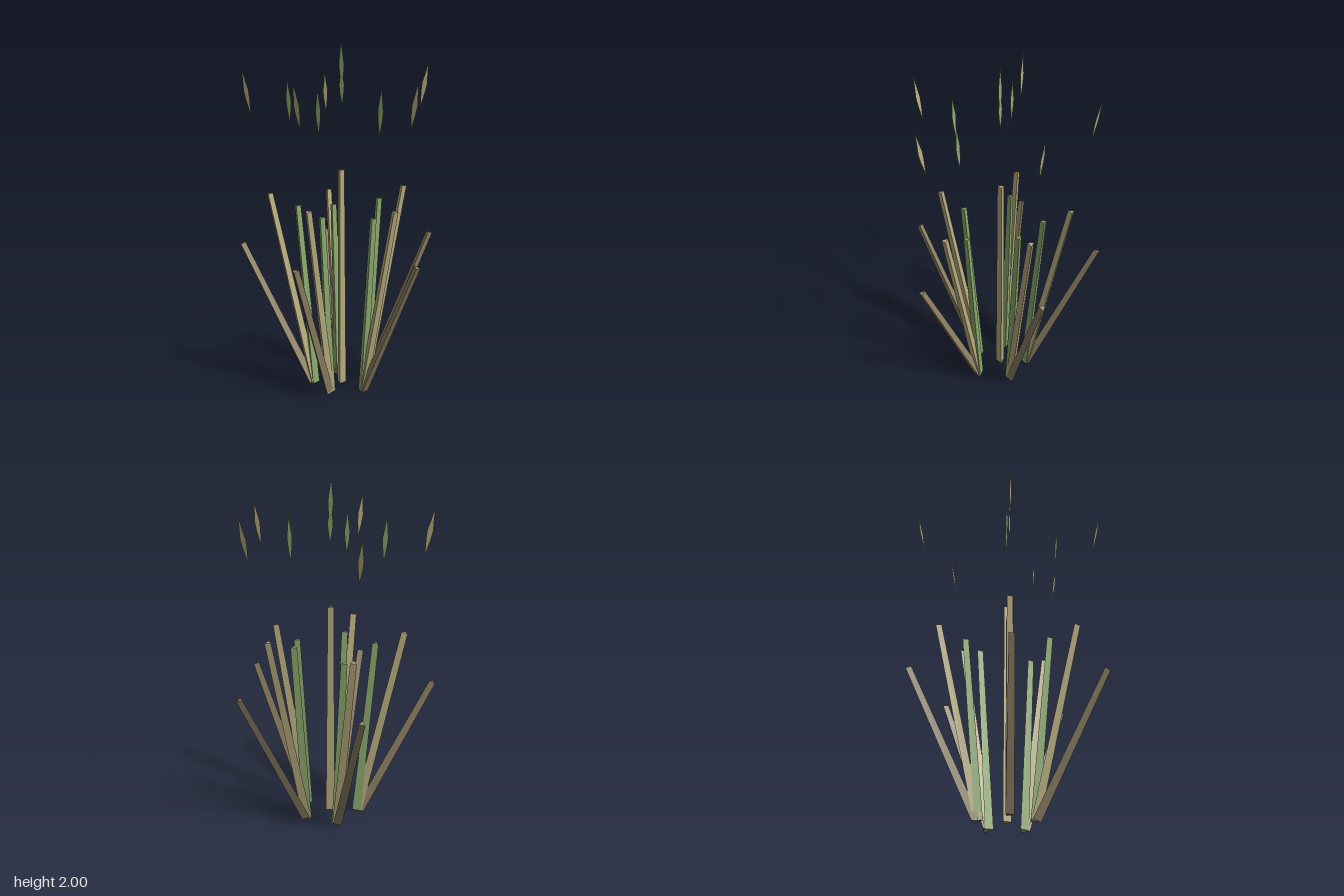
import * as THREE from 'three';

const V = (p) => new THREE.Vector3(...p);

export function createModel() {
  const model = new THREE.Group();
  model.name = 'reedPlant';

  const make = (name, color) => {
    const m = new THREE.MeshStandardMaterial({ color, side: THREE.DoubleSide, flatShading: true });
    m.name = name;
    return m;
  };
  const green = make('leafGreen', 0x8aa86c);
  const tan = make('dryTan', 0xb5aa7c);
  const brown = make('stalkBrown', 0x8d8064);

  // Three-sided tapered stalk between two points
  function stalk(name, material, from, to) {
    const a = V(from), b = V(to), dir = b.clone().sub(a);
    const geo = new THREE.CylinderGeometry(0.021, 0.029, dir.length(), 3).rotateY(Math.PI);
    const mesh = new THREE.Mesh(geo, material);
    mesh.name = name;
    mesh.position.copy(a).add(b).multiplyScalar(0.5);
    mesh.quaternion.setFromUnitVectors(new THREE.Vector3(0, 1, 0), dir.normalize());
    model.add(mesh);
  }

  // Flat pointed blade between two points, facing mostly sideways
  function blade(name, material, from, to) {
    const a = V(from), b = V(to), dir = b.clone().sub(a);
    const h = dir.length() / 2, w = 0.017;
    const shape = new THREE.Shape([
      [0, -h], [w * 0.8, -h * 0.3], [w, h * 0.05], [w * 0.6, h * 0.4],
      [0, h], [-w * 0.6, h * 0.4], [-w, h * 0.05], [-w * 0.8, -h * 0.3],
    ].map(([x, y]) => new THREE.Vector2(x, y)));
    const mesh = new THREE.Mesh(new THREE.ShapeGeometry(shape), material);
    mesh.name = name;
    dir.normalize();
    const normal = new THREE.Vector3(Math.cos(0.24), 0, -Math.sin(0.24));
    const side = new THREE.Vector3().crossVectors(dir, normal).normalize();
    normal.crossVectors(side, dir);
    mesh.quaternion.setFromRotationMatrix(new THREE.Matrix4().makeBasis(side, dir, normal));
    mesh.position.copy(a).add(b).multiplyScalar(0.5);
    model.add(mesh);
  }

  // Five clumps: shared foot, then the tops of the inner, middle and outer stalks
  const clumps = [
    { foot: [-0.16, -0.005], inner: [-0.25, 1.05, 0.025], middle: [-0.4, 1.11, 0.075], outer: [-0.55, 0.825, 0.13] },
    { foot: [0.14, -0.003], inner: [0.222, 1.09, 0.017], middle: [0.38, 1.15, 0.067], outer: [0.55, 0.855, 0.128] },
    { foot: [-0.015, 0.115], inner: [-0.015, 1.03, 0.19], middle: [-0.01, 1.09, 0.345], outer: [-0.015, 0.81, 0.51] },
    { foot: [-0.118, -0.18], inner: [-0.165, 1.065, -0.255], middle: [-0.26, 1.13, -0.385], outer: [-0.36, 0.835, -0.515] },
    { foot: [0.085, -0.18], inner: [0.125, 1.03, -0.255], middle: [0.215, 1.09, -0.385], outer: [0.31, 0.81, -0.515] },
  ];
  for (const { foot: [x, z], inner, middle, outer } of clumps) {
    stalk('innerStalk', green, [x * 0.97, 0.01, z * 0.97], inner);
    stalk('middleStalk', tan, [x, 0.01, z], middle);
    stalk('outerStalk', brown, [x * 1.06, 0.013, z * 1.06], outer);
  }
  stalk('centreStalk', tan, [-0.015, 0.015, -0.055], [-0.015, 1.275, -0.055]);

  // Blades floating above the stalks
  const dryBlades = [
    [[-0.49, 1.55, 0.115], [-0.55, 1.81, 0.128]],
    [[0.475, 1.6, 0.108], [0.53, 1.86, 0.122]],
    [[-0.01, 1.54, 0.45], [-0.015, 1.8, 0.505]],
    [[-0.32, 1.57, -0.46], [-0.35, 1.84, -0.5]],
    [[0.27, 1.54, -0.455], [0.3, 1.79, -0.495]],
  ];
  const greenBlades = [
    [[-0.285, 1.5, 0.043], [-0.302, 1.76, 0.052]],
    [[-0.01, 1.48, 0.23], [-0.015, 1.76, 0.248]],
    [[-0.19, 1.53, -0.28], [-0.2, 1.79, -0.292]],
    [[-0.012, 1.63, -0.048], [-0.015, 1.86, -0.05]],
    [[-0.013, 1.72, -0.048], [-0.018, 2.0, -0.05]],
  ];
  dryBlades.forEach(([a, b]) => blade('dryBlade', tan, a, b));
  greenBlades.forEach(([a, b]) => blade('greenBlade', green, a, b));
  return model;
}
